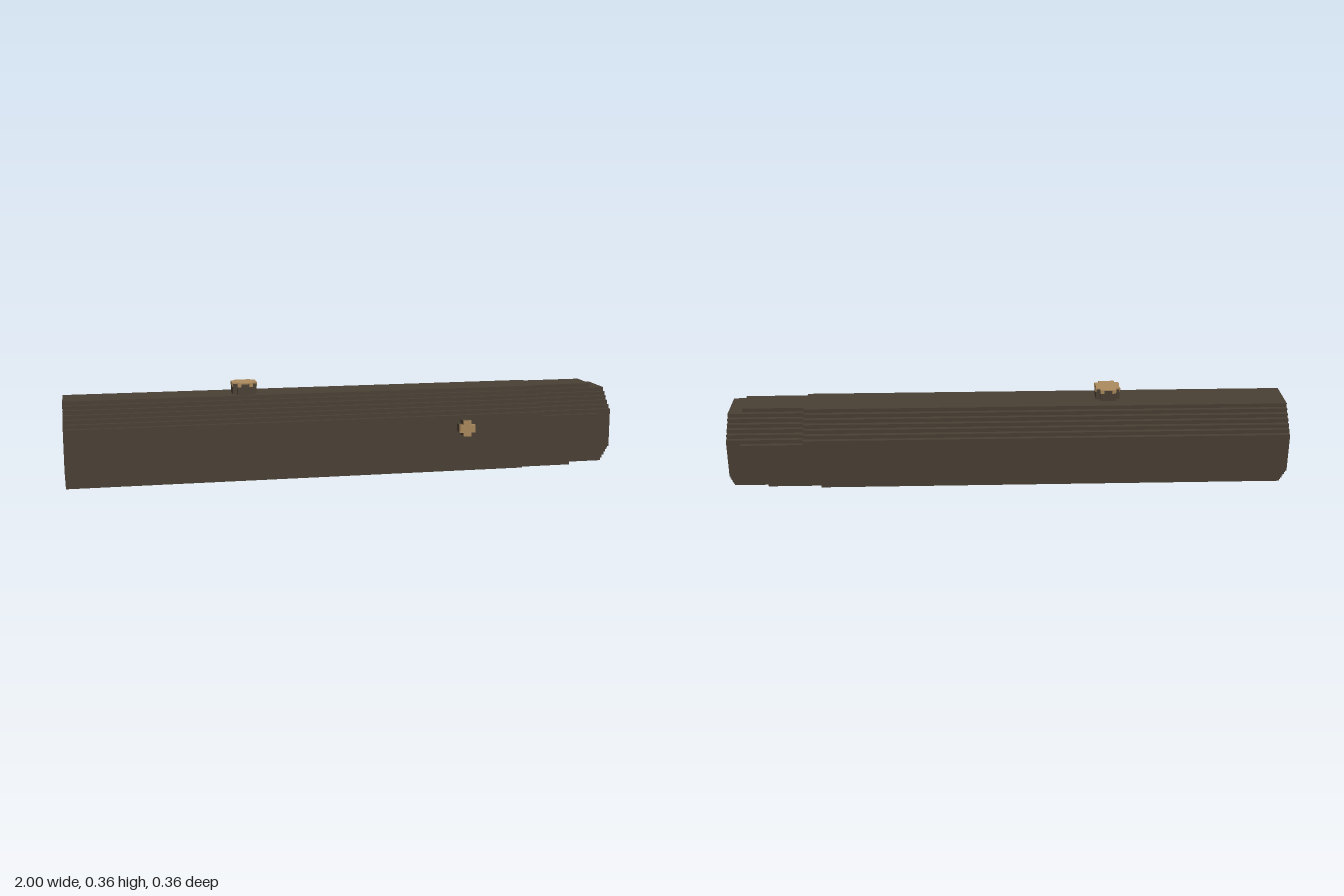
import * as THREE from 'three';

const V = 0.0142;           // size of one block
const CY = 0.157, CZ = -0.021; // tube axis

const mat = (name, color) => {
  const m = new THREE.MeshStandardMaterial({ color });
  m.name = name;
  return m;
};

// Upper half of a stepped octagon: half-height h, half-width of flats f
function upperArc(h, f) {
  const q = [[h, f]];
  for (let k = 0; k < h - f; k++) q.push([h - k - 1, f + k], [h - k - 1, f + k + 1]);
  return [...q, ...q.map(([x, y]) => [-x, y]).reverse()];
}
const octagon = (h, f = 5) => {
  const a = upperArc(h, f);
  return [...a, ...a.map(([x, y]) => [-x, -y])];
};
const vectors = (pts) => pts.map(([x, y]) => new THREE.Vector2(x * V, y * V));

export function createModel() {
  const dark = mat('dark casing', 0x4a4034);
  const tan = mat('tan', 0xac8a5e);
  const brown = mat('brown', 0x73512f);
  const group = new THREE.Group();

  function add(name, geometry, material) {
    const mesh = new THREE.Mesh(geometry, material);
    mesh.name = name;
    group.add(mesh);
    return mesh;
  }
  // Extrude a cross-section along x from x0 to x1
  function along(name, pts, hole, x0, x1, material) {
    const shape = new THREE.Shape(vectors(pts));
    if (hole) shape.holes.push(new THREE.Path(vectors(hole)));
    const g = new THREE.ExtrudeGeometry(shape, { depth: x1 - x0, bevelEnabled: false });
    g.rotateY(Math.PI / 2).translate(x0, CY, CZ);
    return add(name, g, material);
  }
  // Box spanning x0..x1, with z and y given in blocks from the axis
  function bar(name, x0, x1, z0, z1, y0, y1, material) {
    const g = new THREE.BoxGeometry(x1 - x0, (y1 - y0) * V, (z1 - z0) * V);
    g.translate((x0 + x1) / 2, CY + (y0 + y1) * V / 2, CZ + (z0 + z1) * V / 2);
    return add(name, g, material);
  }

  // Tube: outer casing and the thinner sleeve showing at the open end
  along('casing', octagon(11), octagon(9), -1, 0.685, dark);
  along('sleeve', octagon(10), octagon(9), 0.685, 1, dark);

  // Upper casing layer reaching a little further
  const layer = [[11, 4], ...upperArc(11, 5), [-11, 4], [-10, 4], ...upperArc(10, 5).reverse(), [10, 4]];
  along('upperCasing', layer, null, 0.685, 0.73, dark);

  // Long tongues on the four flat sides
  bar('topTongue', 0.73, 0.95, -4, 4, 10, 11, dark);
  bar('bottomTongue', 0.685, 0.88, -4, 4, -11, -10, dark);
  for (const s of [-1, 1]) {
    const a = s * 10, b = s * 11;
    bar('sideTongue', 0.685, 0.95, Math.min(a, b), Math.max(a, b), -4, 4, dark);
  }

  // Closed end
  along('endCap', octagon(9), null, -0.996, -0.982, tan);

  // Half plates with a slot between them at the open end
  const plate = [[9, 4], ...upperArc(9, 5), [-9, 4]];
  along('upperPlate', plate, null, 0.982, 0.996, tan);
  along('lowerPlate', plate.map(([x, y]) => [-x, -y]), null, 0.982, 0.996, tan);
  bar('lowerPlateMark', 0.996, 1, -2, 2, -5, -4, brown);

  // Brown pattern: diagonal dots and a central cross on both cap faces
  const faces = [[-1, -0.996], [-0.982, -0.978]];
  for (const sz of [-1, 1]) {
    for (const sy of [-1, 1]) {
      const dot = (x0, x1, z, y) => bar('dot', x0, x1,
        sz * (z + 0.5) - 0.5, sz * (z + 0.5) + 0.5, sy * (y + 0.5) - 0.5, sy * (y + 0.5) + 0.5, brown);
      for (const [x0, x1] of faces) {
        for (let k = 0; k < 4; k++) dot(x0, x1, 6 - k, 3 + k);
        dot(x0, x1, 1, 1);
      }
      for (let k = 1; k < 4; k++) dot(0.996, 1, 6 - k, 3 + k);
    }
  }
  for (const [x0, x1] of faces) bar('centreMark', x0, x1, -1, 1, -1, 1, brown);

  // Stepped knob built along its own z axis
  function knobPart(name, h, f, depth, material) {
    const shape = new THREE.Shape(vectors(octagon(h, f)));
    return add(name, new THREE.ExtrudeGeometry(shape, { depth, bevelEnabled: false }), material);
  }

  // Top knob: dark body, tan cap face and tan side marks
  const topZ = CZ + V, topX = -0.36, topY = CY + 11 * V;
  const body = knobPart('topKnob', 3, 2, 0.038, dark);
  body.rotation.x = -Math.PI / 2;
  body.position.set(topX, topY, topZ);
  const cap = knobPart('topKnobCap', 3, 2, 0.005, tan);
  cap.rotation.x = -Math.PI / 2;
  cap.position.set(topX, topY + 0.038, topZ);
  for (const side of [0, 1, 2, 3]) {
    for (const s of [-1, 1]) {
      const g = new THREE.BoxGeometry(V, V, 0.004);
      g.translate(s * 1.5 * V, 0, 3 * V).rotateY(side * Math.PI / 2);
      add('topKnobMark', g, tan).position.set(topX, topY + 2.5 * V, topZ);
    }
  }

  // Front knob: dark stem with a tan button
  const stem = knobPart('frontKnobStem', 2, 1, 2 * V, dark);
  stem.position.set(0.428, CY + 2 * V, CZ + 11 * V);
  const button = knobPart('frontKnobButton', 2, 1, V, tan);
  button.position.set(0.428, CY + 2 * V, CZ + 13 * V);

  return group;
}
